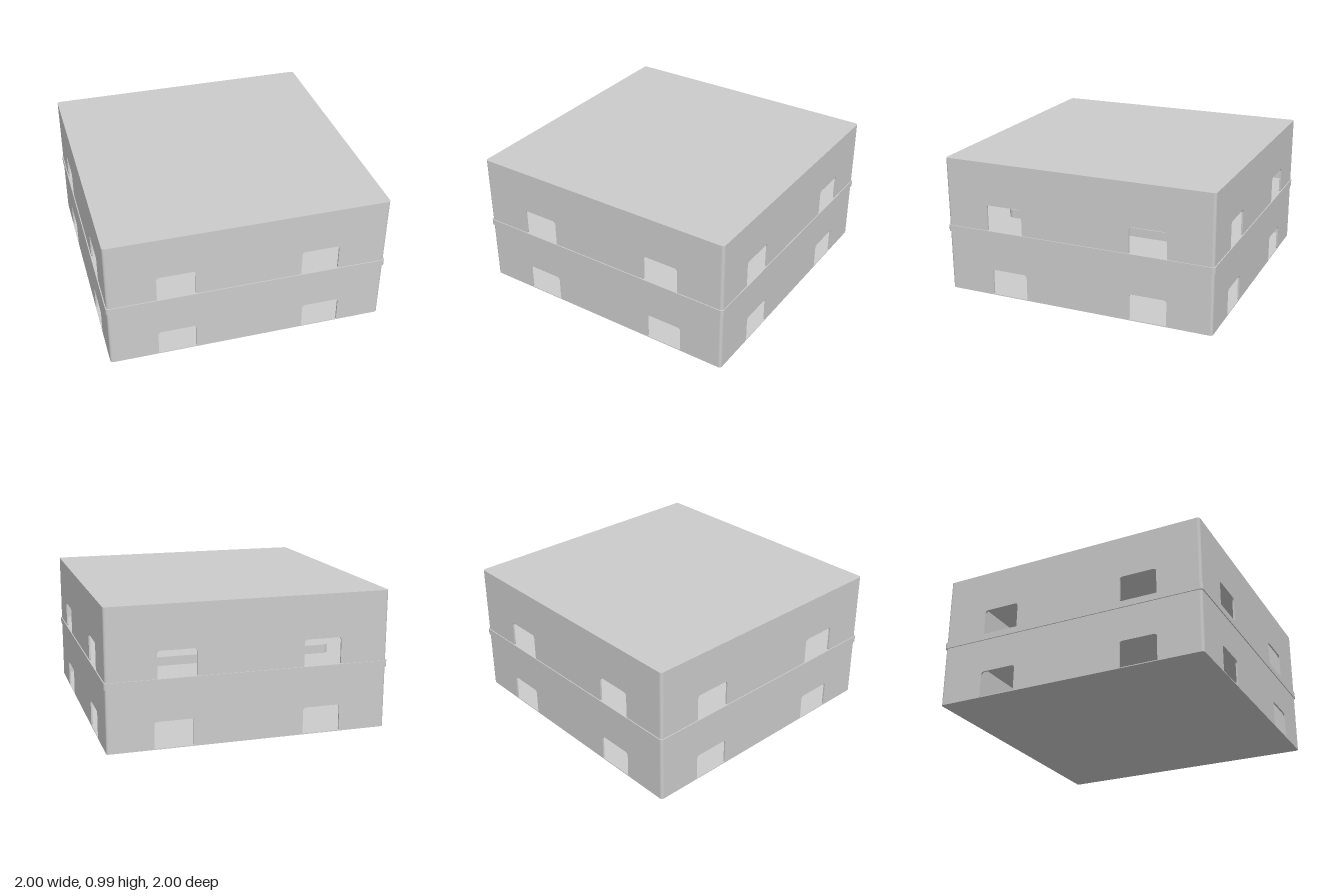
import * as THREE from 'three';

const material = new THREE.MeshStandardMaterial({ color: 0xcccccc });
const HALF = 0.993;   // half width of the walls
const CORNER = 0.02;  // radius of the upright corners
const THICK = 0.012;  // wall thickness

function add(parent, name, geometry) {
  const mesh = new THREE.Mesh(geometry, material);
  mesh.name = name;
  parent.add(mesh);
  return mesh;
}

// Rounded square outline, as a Shape or a Path
function roundedSquare(target, h, r) {
  target.moveTo(h - r, -h);
  target.absarc(h - r, -h + r, r, -Math.PI / 2, 0, false);
  target.absarc(h - r, h - r, r, 0, Math.PI / 2, false);
  target.absarc(-h + r, h - r, r, Math.PI / 2, Math.PI, false);
  target.absarc(-h + r, -h + r, r, Math.PI, Math.PI * 1.5, false);
  target.closePath();
  return target;
}

// Horizontal square plate between two heights, with an optional square opening
function plate(h, r, y0, y1, hole = 0, holeR = 0.02) {
  const shape = roundedSquare(new THREE.Shape(), h, r);
  if (hole) shape.holes.push(roundedSquare(new THREE.Path(), hole, holeR));
  const geo = new THREE.ExtrudeGeometry(shape, { depth: y1 - y0, bevelEnabled: false, curveSegments: 6 });
  return geo.rotateX(-Math.PI / 2).translate(0, y0, 0);
}

// Upright panel with fork openings cut in from its bottom edge
function panel(y0, y1, openings) {
  const w = HALF - CORNER, top = y0 + 0.19, r = 0.022, f = 0.01;
  const s = new THREE.Shape();
  s.moveTo(-w, y0);
  for (const a of openings) {
    const b = a + 0.27;
    s.lineTo(a - f, y0);
    s.quadraticCurveTo(a, y0, a, y0 + f);
    s.lineTo(a, top - r);
    s.absarc(a + r, top - r, r, Math.PI, Math.PI / 2, true);
    s.absarc(b - r, top - r, r, Math.PI / 2, 0, true);
    s.lineTo(b, y0 + f);
    s.quadraticCurveTo(b, y0, b + f, y0);
  }
  s.lineTo(w, y0);
  s.lineTo(w, y1);
  s.lineTo(-w, y1);
  s.closePath();
  const geo = new THREE.ExtrudeGeometry(s, { depth: THICK, bevelEnabled: false, curveSegments: 6 });
  return geo.translate(0, 0, HALF - THICK);
}

// Four walls and rounded corner posts; openings are left edges seen from each side
function walls(name, y0, y1, sides) {
  const tier = new THREE.Group();
  tier.name = name;
  ['front', 'right', 'back', 'left'].forEach((side, i) => {
    add(tier, side + 'Wall', panel(y0, y1, sides[i])).rotation.y = i * Math.PI / 2;
  });
  const c = HALF - CORNER;
  for (const x of [-c, c]) for (const z of [-c, c]) {
    const post = new THREE.CylinderGeometry(CORNER, CORNER, y1 - y0, 20);
    add(tier, 'cornerPost', post.translate(x, (y0 + y1) / 2, z));
  }
  return tier;
}

export function createModel() {
  const model = new THREE.Group();
  model.name = 'stackedBoxes';

  // Lower box: floor and walls
  const lower = walls('lowerBox', 0.004, 0.475, [
    [-0.65, 0.40],
    [-0.65, 0.40],
    [-0.67, 0.38],
    [-0.67, 0.405],
  ]);
  add(lower, 'floor', plate(HALF, CORNER, 0, 0.006));

  // Flanged lid with a raised locating step, hollow underneath
  add(lower, 'lidFlange', plate(1, CORNER, 0.44, 0.487, HALF - THICK / 2));
  add(lower, 'lidTop', plate(0.998, CORNER, 0.475, 0.486, 0.68, 0.035));
  add(lower, 'stepWall', plate(0.69, 0.045, 0.475, 0.547, 0.68, 0.035));
  add(lower, 'stepTop', plate(0.689, 0.044, 0.536, 0.548));
  model.add(lower);

  // Upper box: walls and flat top
  const upper = walls('upperBox', 0.487, 0.976, [
    [-0.65, 0.375],
    [-0.675, 0.40],
    [-0.645, 0.38],
    [-0.67, 0.405],
  ]);
  add(upper, 'top', plate(HALF, CORNER, 0.974, 0.986));
  model.add(upper);

  return model;
}
